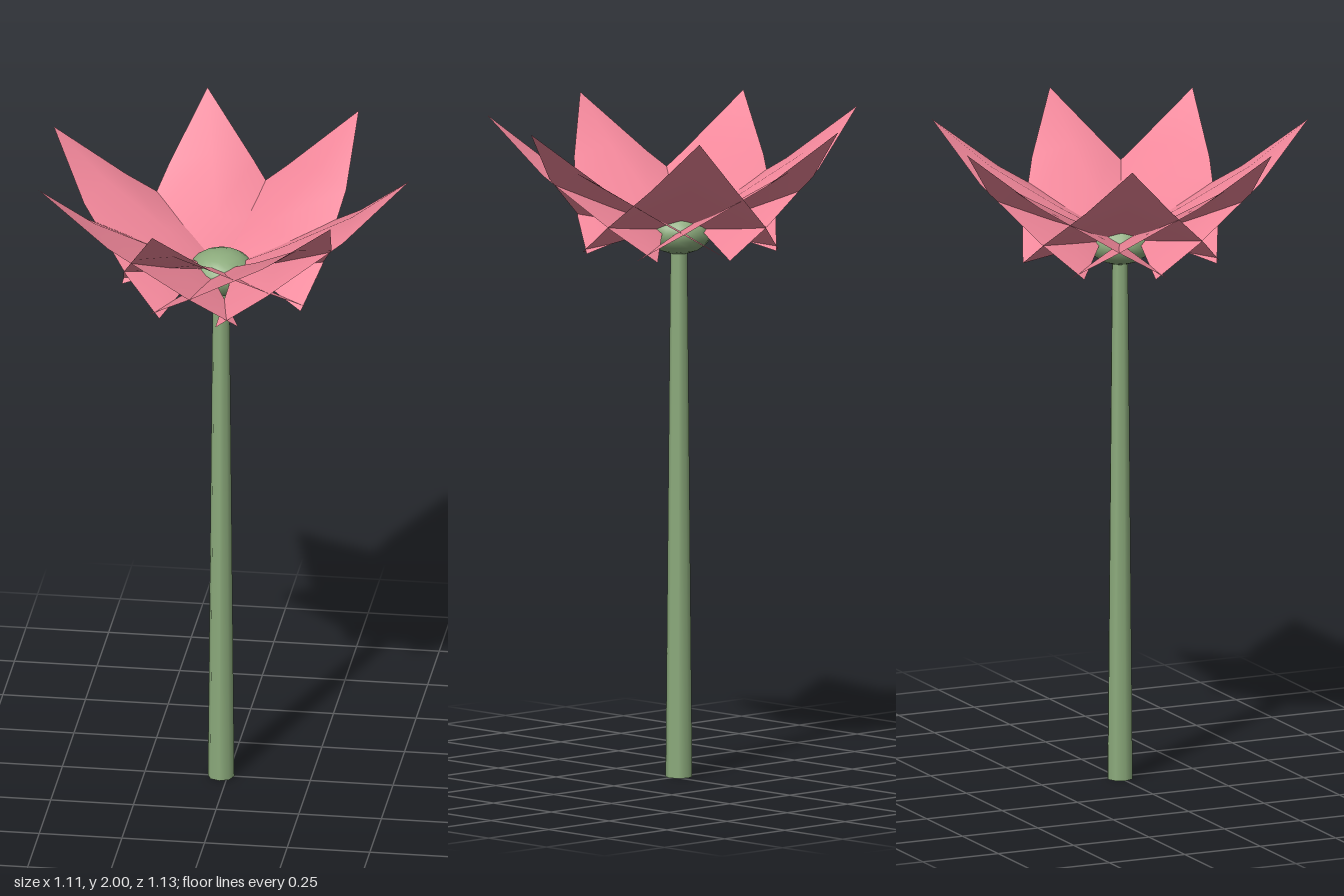
import * as THREE from 'three';

// Petal cross-sections from base to tip: [radius, ridge height, half width, edge height]
const PETAL_ROWS = [
  [0.045, 1.68, 0.295, 1.6],
  [0.19, 1.75, 0.24, 1.69],
  [0.4, 1.865, 0.127, 1.835],
];
const PETAL_TIP = [0.577, 2.0, 0];
const PETAL_ANGLES = [4, 47.5, 103, 153.4, 201.7, 258, 307.7]; // degrees, from +x towards +z

// Triangular leaf, folded along its ridge and curving upwards to a point
function petalGeometry() {
  const positions = [];
  const index = [];
  PETAL_ROWS.forEach(([r, ridge, w, edge], i) => {
    positions.push(r, edge, -w, r, ridge, 0, r, edge, w);
    for (let a = i * 3; a < i * 3 + 2; a++) {
      if (i < PETAL_ROWS.length - 1) index.push(a, a + 1, a + 4, a, a + 4, a + 3);
      else index.push(a, a + 1, PETAL_ROWS.length * 3); // closing triangles at the tip
    }
  });
  positions.push(...PETAL_TIP);
  const geo = new THREE.BufferGeometry();
  geo.setAttribute('position', new THREE.Float32BufferAttribute(positions, 3));
  geo.setIndex(index);
  geo.computeVertexNormals();
  return geo;
}

export function createModel() {
  const model = new THREE.Group();
  model.name = 'flower';
  const flower = new THREE.Group();
  flower.name = 'bloomAndStem';
  flower.position.x = -0.02;
  model.add(flower);

  const green = new THREE.MeshStandardMaterial({ color: 0x8cab7c });
  const pink = new THREE.MeshStandardMaterial({ color: 0xf08699, side: THREE.DoubleSide });

  // Tapered stem
  const stem = new THREE.Mesh(new THREE.CylinderGeometry(0.025, 0.04, 1.62, 8), green);
  stem.name = 'stem';
  stem.position.y = 0.81;
  flower.add(stem);

  // Flattened heart of the bloom
  const heart = new THREE.Mesh(new THREE.SphereGeometry(0.1, 16, 10), green);
  heart.name = 'heart';
  heart.scale.y = 0.68;
  heart.position.y = 1.652;
  flower.add(heart);

  // Ring of overlapping petals
  const petals = new THREE.Group();
  petals.name = 'petals';
  flower.add(petals);
  const geo = petalGeometry();
  PETAL_ANGLES.forEach((deg, i) => {
    const petal = new THREE.Mesh(geo, pink);
    petal.name = `petal${i + 1}`;
    petal.rotation.y = -THREE.MathUtils.degToRad(deg);
    petals.add(petal);
  });

  return model;
}
